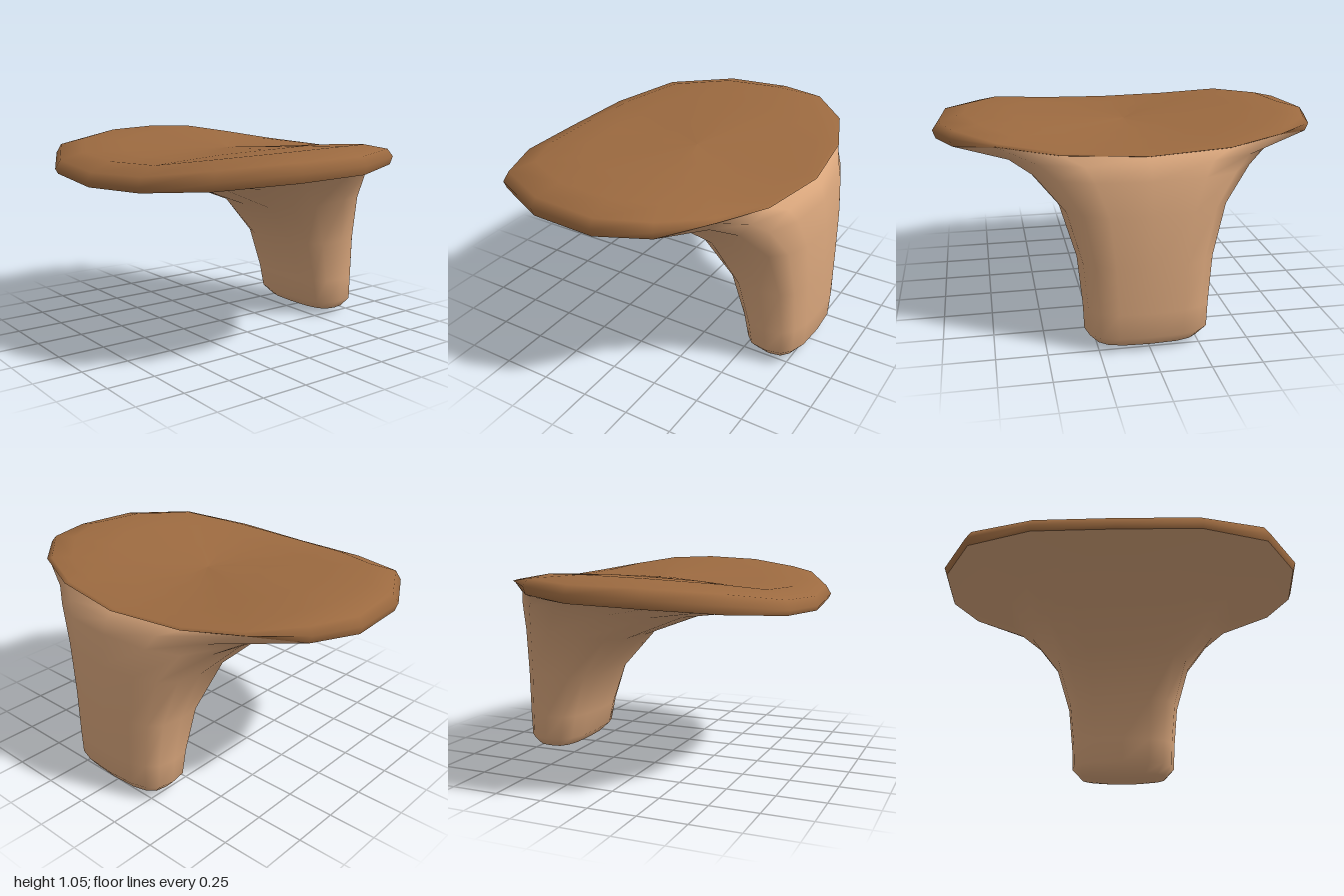
import * as THREE from 'three';

const N = 16; // points round every cross-section, starting at the front

// Skin a stack of N-point rings, listed so that the outside faces outward.
function loft(name, rings, color) {
  const index = [];
  for (let r = 0; r < rings.length - 1; r++) {
    for (let i = 0; i < N; i++) {
      const a = r * N + i, b = r * N + (i + 1) % N;
      index.push(a, b, b + N, a, b + N, a + N);
    }
  }
  const geometry = new THREE.BufferGeometry();
  geometry.setAttribute('position', new THREE.Float32BufferAttribute(rings.flat(2), 3));
  geometry.setIndex(index);
  geometry.computeVertexNormals();
  const mesh = new THREE.Mesh(geometry, new THREE.MeshStandardMaterial({ color }));
  mesh.name = name;
  return mesh;
}

// Build a ring from a rule for one half, mirrored across x.
function mirroredRing(point) {
  return Array.from({ length: N }, (_, i) => {
    const [x, y, z] = point(Math.min(i, N - i));
    return [i <= N / 2 ? x : -x, y, z];
  });
}

// Half outline of the cap, front to back, with heights at several insets
const rimX = [0, 0.43, 0.78, 0.968, 1, 0.91, 0.7, 0.41, 0];
const rimZ = [0.817, 0.78, 0.605, 0.26, -0.1, -0.37, -0.565, -0.68, -0.735];
const lowY = [0.842, 0.862, 0.895, 0.925, 0.938, 0.96, 0.995, 0.972, 0.963];
const edgeY = [0.868, 0.888, 0.935, 0.968, 0.98, 1.0, 1.003, 0.977, 0.967];
const shoulderY = [0.915, 0.935, 0.985, 1.015, 1.022, 1.035, 1.01, 0.983, 0.969];
const crownY = [0.962, 0.975, 1.02, 1.048, 1.058, 1.05, 1.02, 0.988, 0.972];
const centreY = 0.992, centreZ = -0.05;

// A ring of the cap outline shrunk by t toward the centre
const capRing = (t, height) => mirroredRing(j =>
  [rimX[j] * t, height(j), centreZ + (rimZ[j] - centreZ) * t]);

// A rounded ring of the stem: half width, front/side/back depth and height
const stemRing = (w, zF, zS, zB, yF, yS, yB, power) => mirroredRing(j => {
  const a = j * 2 * Math.PI / N, c = Math.cos(a);
  const k = Math.abs(c) < 1e-6 ? 0 : Math.abs(c) ** power;
  const s = j % (N / 2) ? Math.sin(a) ** power : 0;
  return [
    w * s,
    yS + ((c > 0 ? yF : yB) - yS) * k,
    zS + ((c > 0 ? zF : zB) - zS) * k,
  ];
});

export function createModel() {
  const model = new THREE.Group();
  model.name = 'shelfMushroom';

  const lowerRim = capRing(0.985, j => lowY[j]);
  // The back of the rim joins the stem without an overhang
  const outerRim = capRing(1, j => edgeY[j]);

  // Stem, flaring forward into the underside of the cap
  model.add(loft('stem', [
    stemRing(0, -0.65, -0.65, -0.65, 0.003, 0.003, 0.003, 0.7),
    stemRing(0.15, -0.59, -0.65, -0.72, 0.008, 0.008, 0.008, 0.7),
    stemRing(0.26, -0.54, -0.65, -0.77, 0.025, 0.028, 0.025, 0.7),
    stemRing(0.308, -0.48, -0.65, -0.81, 0.08, 0.08, 0.08, 0.7),
    stemRing(0.313, -0.45, -0.64, -0.817, 0.21, 0.21, 0.21, 0.7),
    stemRing(0.335, -0.37, -0.61, -0.817, 0.44, 0.45, 0.45, 0.7),
    stemRing(0.41, -0.17, -0.55, -0.81, 0.66, 0.7, 0.7, 0.75),
    stemRing(0.56, 0.2, -0.42, -0.785, 0.8, 0.86, 0.86, 0.8),
    stemRing(0.68, 0.57, -0.28, -0.762, 0.85, 0.905, 0.932, 0.85),
    lowerRim,
  ], 0xd9a67c));

  // Cap with a rounded lip and a shallow trough from front to back
  const inner = k => j => centreY + (crownY[j] - centreY) * k;
  model.add(loft('cap', [
    lowerRim,
    outerRim,
    capRing(0.97, j => shoulderY[j]),
    capRing(0.84, j => crownY[j]),
    capRing(0.6, inner(0.78)),
    capRing(0.3, inner(0.35)),
    capRing(0, inner(0)),
  ], 0x9c6a40));

  return model;
}
